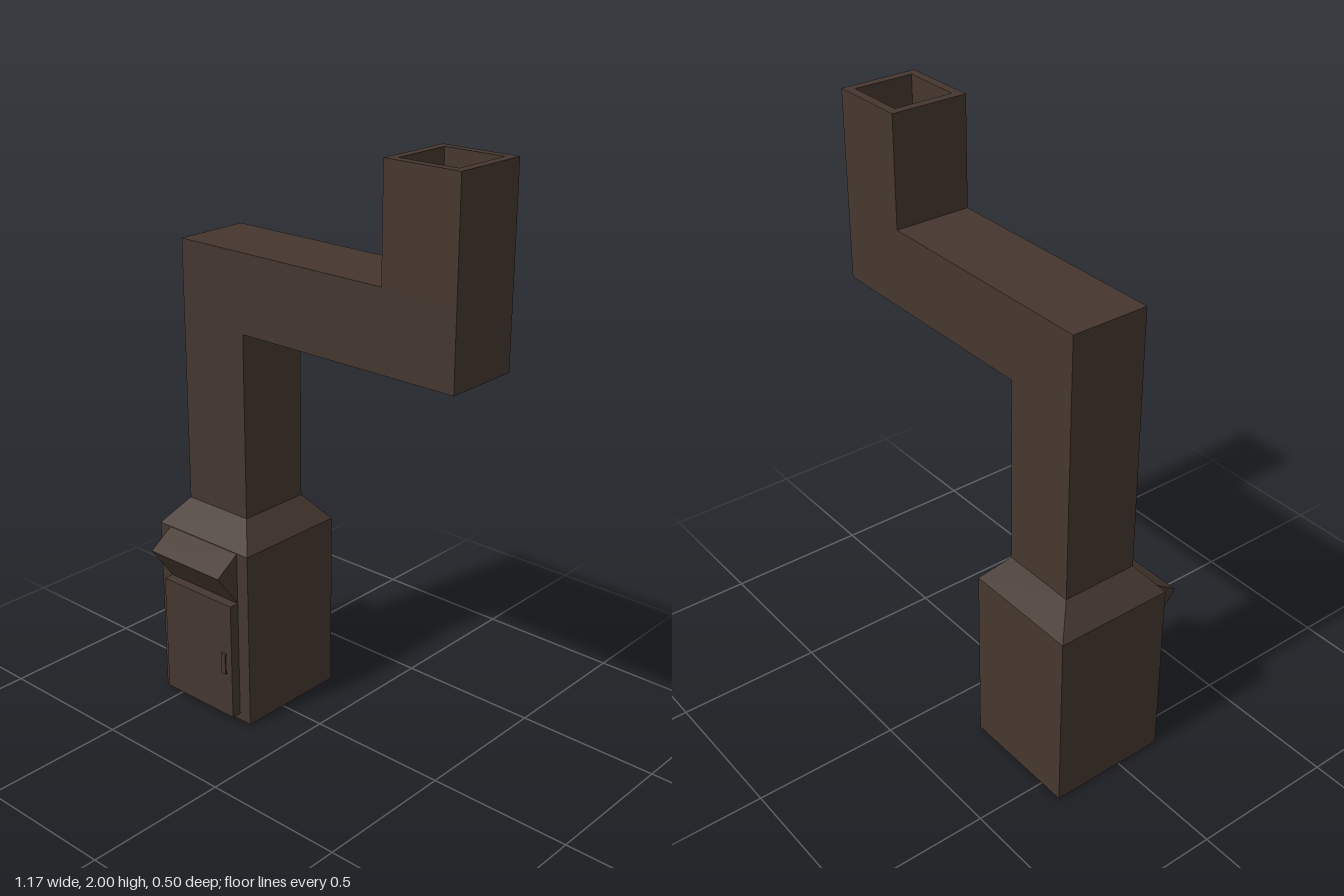
import * as THREE from 'three';

// Skin through rectangular rings [x0, x1, z0, z1, y]; optionally cap the first and last ring
function loftRects(rings, capStart, capEnd) {
  const loops = rings.map(([x0, x1, z0, z1, y]) => [[x0, y, z1], [x1, y, z1], [x1, y, z0], [x0, y, z0]]);
  const pos = [];
  const quad = (a, b, c, d) => [a, b, c, a, c, d].forEach((p) => pos.push(...p));
  for (let r = 0; r < loops.length - 1; r++) {
    const a = loops[r], b = loops[r + 1];
    for (let i = 0; i < 4; i++) {
      const j = (i + 1) % 4;
      quad(a[i], a[j], b[j], b[i]);
    }
  }
  if (capStart) quad(...[...loops[0]].reverse());
  if (capEnd) quad(...loops[loops.length - 1]);
  const geo = new THREE.BufferGeometry();
  geo.setAttribute('position', new THREE.Float32BufferAttribute(pos, 3));
  geo.computeVertexNormals();
  return geo;
}

// Shape from points, extruded without bevel
function prism(points, depth) {
  const shape = new THREE.Shape(points.map(([x, y]) => new THREE.Vector2(x, y)));
  return new THREE.ExtrudeGeometry(shape, { depth, bevelEnabled: false });
}

export function createModel() {
  const group = new THREE.Group();
  const brown = new THREE.MeshStandardMaterial({ color: 0x45372f });
  brown.name = 'dark brown metal';

  const add = (name, geo, parent = group) => {
    const mesh = new THREE.Mesh(geo, brown);
    mesh.name = name;
    parent.add(mesh);
    return mesh;
  };
  const addBox = (name, x0, x1, y0, y1, z0, z1, parent) => {
    const geo = new THREE.BoxGeometry(x1 - x0, y1 - y0, z1 - z0);
    geo.translate((x0 + x1) / 2, (y0 + y1) / 2, (z0 + z1) / 2);
    return add(name, geo, parent);
  };

  const back = -0.179, front = 0.088; // pipe depth range
  const bodyFront = 0.163;

  // Cabinet with recessed underside and tapered shoulder
  add('cabinet', loftRects([
    [-0.567, -0.193, -0.232, 0.143, 0.05],
    [-0.567, -0.193, -0.232, 0.143, 0],
    [-0.587, -0.173, -0.252, bodyFront, 0],
    [-0.587, -0.173, -0.252, bodyFront, 0.635],
    [-0.513, -0.247, back, front, 0.727],
  ], true, false));

  // Riser and cross duct in one bent profile
  const duct = prism([
    [-0.513, 0.727], [-0.247, 0.727], [-0.247, 1.365],
    [0.585, 1.365], [0.585, 1.63], [-0.513, 1.63],
  ], front - back);
  duct.translate(0, 0, back);
  add('duct', duct);

  // Upper stack, open at the top
  add('stack', loftRects([
    [0.315, 0.585, back, front, 1.63],
    [0.315, 0.585, back, front, 2],
    [0.345, 0.555, back + 0.03, front - 0.03, 2],
    [0.345, 0.555, back + 0.03, front - 0.03, 1.635],
  ], false, true));

  // Wedge hood: profile drawn as (-z, y), then turned to run along x
  const hood = prism([[-bodyFront, 0.633], [-0.252, 0.573], [-bodyFront, 0.45]], 0.318);
  hood.rotateY(Math.PI / 2);
  hood.translate(-0.539, 0, 0);
  add('hood', hood);

  // Door with its pull handle
  const door = new THREE.Group();
  door.name = 'door';
  group.add(door);
  addBox('doorPanel', -0.539, -0.221, 0.025, 0.45, bodyFront, 0.198, door);
  addBox('handleBar', -0.262, -0.242, 0.19, 0.265, 0.204, 0.208, door);
  for (const y of [0.19, 0.261]) addBox('handleFoot', -0.262, -0.242, y, y + 0.004, 0.198, 0.204, door);

  return group;
}
